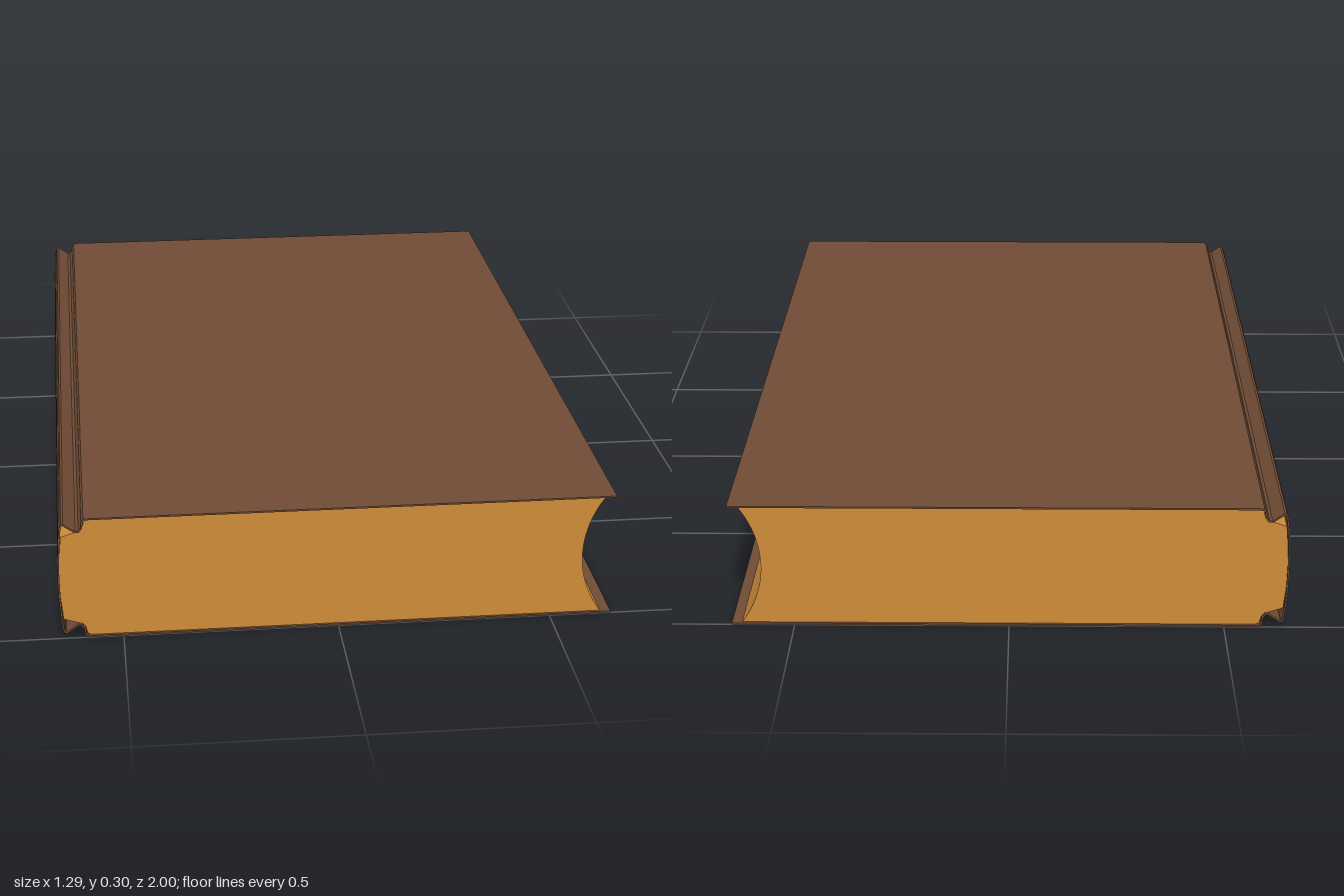
import * as THREE from 'three';
import { toCreasedNormals } from 'three/addons/utils/BufferGeometryUtils.js';

const HEIGHT = 0.302, MID = HEIGHT / 2, BOARD = 0.004;

const coverMat = new THREE.MeshStandardMaterial({ color: 0x704c36 });
coverMat.name = 'brown cover';
const paperMat = new THREE.MeshStandardMaterial({ color: 0xcf8c3a });
paperMat.name = 'golden paper';

// Appends the lower half of a profile by mirroring the upper half about mid height
function mirrorDown(points) {
  const lower = points.filter(([, y]) => y !== MID).map(([x, y]) => [x, HEIGHT - y]).reverse();
  return [...points, ...lower].map(([x, y]) => new THREE.Vector2(x, y));
}

// Moves an open polyline to its left side by a constant distance
function offset(points, distance) {
  const normal = (a, b) => new THREE.Vector2(a.y - b.y, b.x - a.x).normalize();
  return points.map((p, i) => {
    const before = normal(points[Math.max(i - 1, 0)], points[Math.max(i, 1)]);
    const last = points.length - 1;
    const after = normal(points[Math.min(i, last - 1)], points[Math.min(i + 1, last)]);
    const miter = before.clone().add(after).normalize();
    return p.clone().addScaledVector(miter, distance / Math.max(miter.dot(after), 0.5));
  });
}

// Extrudes a shape along z, centred, with smooth curves and sharp corners
function slab(shape, length, material, name) {
  const geometry = new THREE.ExtrudeGeometry(shape, { depth: length, bevelEnabled: false, curveSegments: 28 });
  geometry.translate(0, 0, -length / 2);
  const mesh = new THREE.Mesh(toCreasedNormals(geometry, 0.4), material);
  mesh.name = name;
  return mesh;
}

export function createModel() {
  const book = new THREE.Group();
  book.name = 'book';

  // Cover: boards, hinge grooves and slightly rounded spine in one thin wrap
  const outer = mirrorDown([
    [0.647, HEIGHT], [-0.573, HEIGHT], [-0.584, 0.3], [-0.589, 0.294], [-0.591, 0.279],
    [-0.596, 0.272], [-0.603, 0.271], [-0.63, 0.29], [-0.635, 0.29], [-0.639, 0.282],
    [-0.643, 0.25], [-0.646, 0.2], [-0.647, MID],
  ]);
  const wrap = new THREE.Shape([...outer, ...offset(outer, BOARD).reverse()]);
  book.add(slab(wrap, 2, coverMat, 'cover'));

  // Page block: shaped to the hinges on the left, hollow fore edge on the right
  const left = mirrorDown([
    [-0.573, HEIGHT - BOARD], [-0.583, 0.294], [-0.587, 0.276], [-0.594, 0.268],
    [-0.604, 0.266], [-0.622, 0.26], [-0.637, 0.255], [-0.642, 0.2], [-0.643, MID],
  ]);
  const block = new THREE.Shape(left);
  const half = MID - BOARD, sag = 0.049;
  const radius = (half * half + sag * sag) / (2 * sag);
  const angle = Math.asin(half / radius);
  block.lineTo(0.623, BOARD);
  block.absarc(0.574 + radius, MID, radius, Math.PI + angle, Math.PI - angle, true);
  book.add(slab(block, 1.988, paperMat, 'pageBlock'));

  return book;
}
